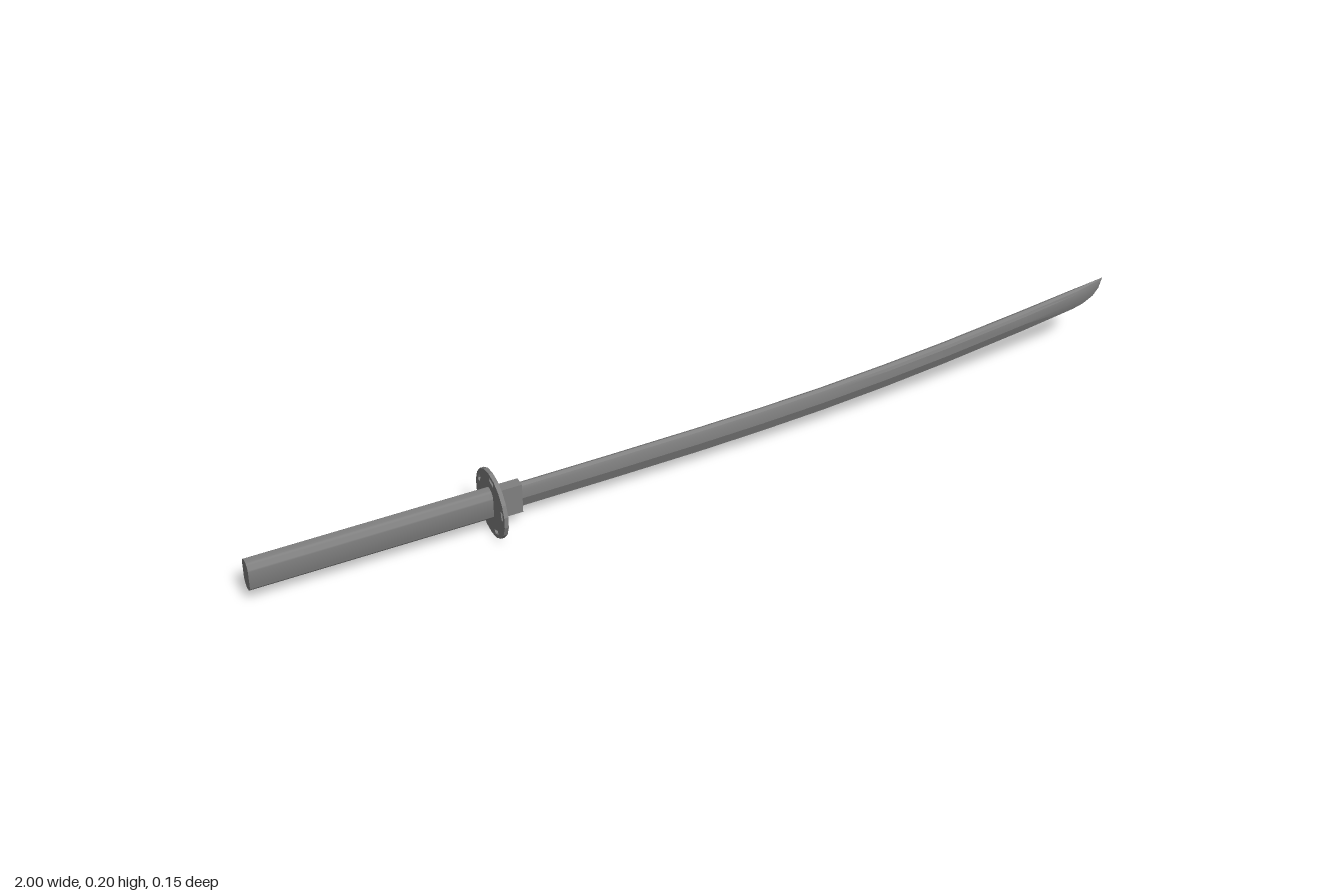
import * as THREE from 'three';
import { toCreasedNormals } from 'three/addons/utils/BufferGeometryUtils.js';

// Dark steel grey on every part
const steel = (flatShading = false) =>
  new THREE.MeshStandardMaterial({ color: 0x808080, flatShading, side: THREE.DoubleSide });

function part(name, geometry, flat) {
  const mesh = new THREE.Mesh(geometry, steel(flat));
  mesh.name = name;
  return mesh;
}

// Extrude a (-z, y) outline along x from x0 to x1
function extrudeX(shape, x0, x1, curveSegments = 8) {
  const g = new THREE.ExtrudeGeometry(shape, { depth: x1 - x0, bevelEnabled: false, curveSegments });
  return g.rotateY(Math.PI / 2).translate(x0, 0, 0);
}

// Blade stations: x, cutting edge y, spine y, half thickness
const STATIONS = [
  [-0.46, 0.045, 0.106, 0.0102], [-0.2, 0.047, 0.108, 0.0102], [0, 0.05, 0.111, 0.0102],
  [0.15, 0.055, 0.115, 0.0102], [0.3, 0.063, 0.122, 0.0102], [0.45, 0.075, 0.133, 0.0102],
  [0.6, 0.091, 0.147, 0.0102], [0.8, 0.117, 0.171, 0.01], [0.93, 0.137, 0.189, 0.008],
  [0.955, 0.144, 0.193, 0.006], [0.98, 0.158, 0.197, 0.004], [0.993, 0.175, 0.199, 0.002],
  [1, 0.199, 0.2, 0.0002],
];

// Cross-section: peaked spine, flat flanks, sharp lower edge (width, height fractions)
const SECTION = [[0, 1], [0.75, 0.94], [1, 0.82], [1, 0.45], [0, 0], [-1, 0.45], [-1, 0.82], [-0.75, 0.94]];

function bladeGeometry() {
  const pos = [], idx = [], n = SECTION.length;
  for (const [x, low, high, w] of STATIONS)
    for (const [u, v] of SECTION) pos.push(x, low + (high - low) * v, u * w);
  for (let i = 0; i < STATIONS.length - 1; i++)
    for (let j = 0; j < n; j++) {
      const a = i * n + j, b = i * n + (j + 1) % n;
      idx.push(a, b, b + n, a, b + n, a + n);
    }
  // Close the root and the tip
  const last = (STATIONS.length - 1) * n;
  for (let j = 1; j < n - 1; j++) idx.push(0, j + 1, j, last, last + j, last + j + 1);
  const g = new THREE.BufferGeometry();
  g.setAttribute('position', new THREE.Float32BufferAttribute(pos, 3));
  g.setIndex(idx);
  return toCreasedNormals(g, 0.35);
}

// 18-sided disc pierced by five tangential slots
function guardGeometry() {
  const cy = 0.076, R = 0.076, sides = 18;
  const ring = Array.from({ length: sides }, (_, i) => {
    const a = (i + 0.5) / sides * Math.PI * 2;
    return new THREE.Vector2(R * Math.cos(a), cy + R * Math.sin(a));
  });
  const shape = new THREE.Shape(ring);
  for (let k = 0; k < 5; k++) {
    const a = THREE.MathUtils.degToRad(28 + 72 * k), c = Math.cos(a), s = Math.sin(a);
    const corners = [[0.058, -0.01], [0.058, 0.01], [0.067, 0.01], [0.067, -0.01]];
    shape.holes.push(new THREE.Path(corners.map(([r, t]) =>
      new THREE.Vector2(r * c - t * s, cy + r * s + t * c))));
  }
  return extrudeX(shape, -0.476, -0.467);
}

// Long grip with a rounded, upright oval section
function handleGeometry() {
  const r = 0.018, low = 0.06, high = 0.097;
  const shape = new THREE.Shape();
  shape.absarc(0, high, r, 0, Math.PI, false);
  shape.absarc(0, low, r, Math.PI, Math.PI * 2, false);
  shape.closePath();
  return toCreasedNormals(extrudeX(shape, -1, -0.472), 0.7);
}

export function createModel() {
  const sword = new THREE.Group();
  sword.name = 'sword';
  const collar = new THREE.BoxGeometry(0.063, 0.071, 0.024).translate(-0.4405, 0.0745, 0);
  sword.add(
    part('blade', bladeGeometry()),
    part('collar', collar, true),
    part('guard', guardGeometry(), true),
    part('handle', handleGeometry()),
  );
  return sword;
}
